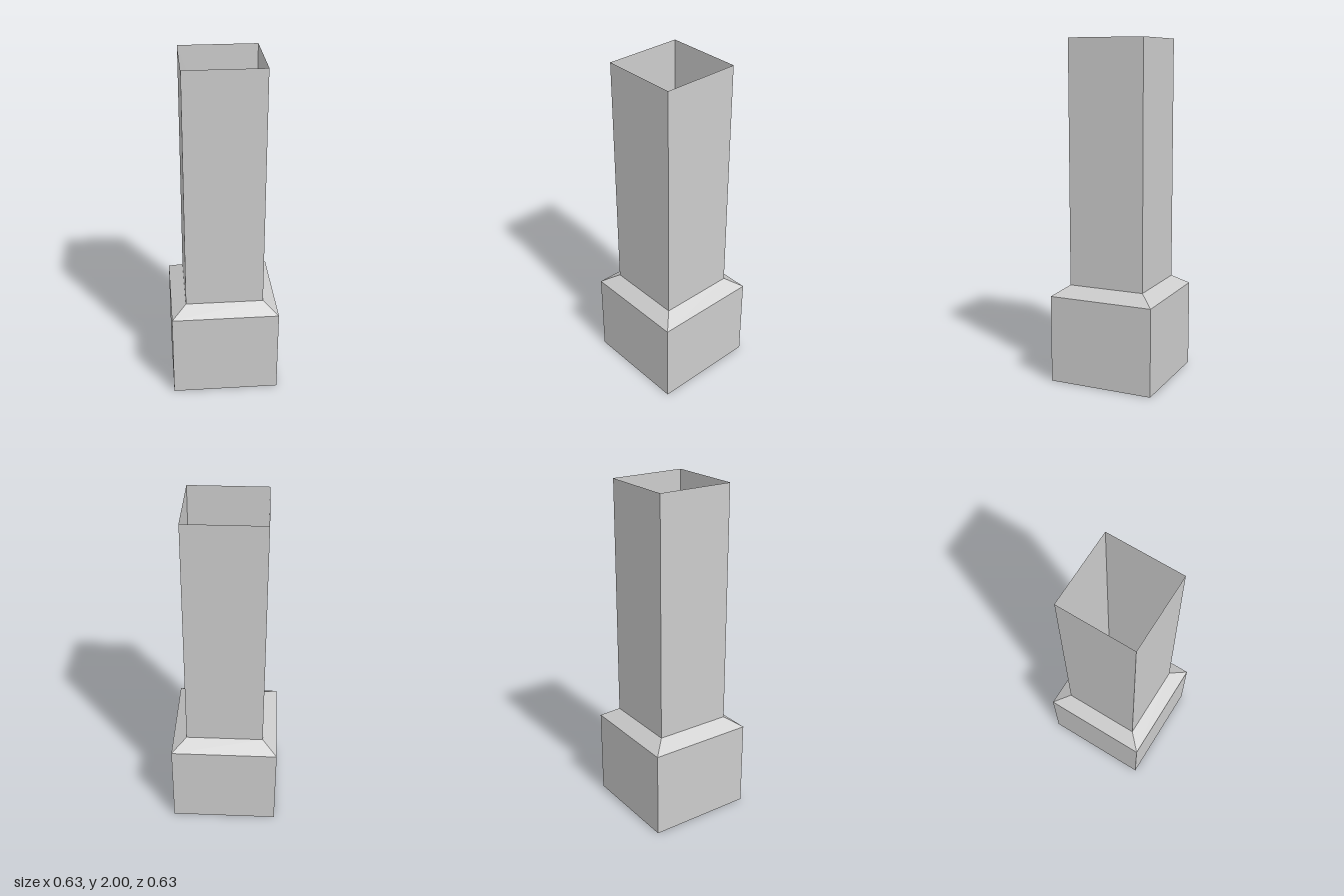
import * as THREE from 'three';

export function createModel() {
  const group = new THREE.Group();
  const material = new THREE.MeshStandardMaterial({
    color: 0xcccccc, flatShading: true, side: THREE.DoubleSide,
  });

  // Open square tube section between two heights, given half-widths at each end
  function addSection(name, halfBottom, halfTop, y0, y1) {
    const geometry = new THREE.CylinderGeometry(
      halfTop * Math.SQRT2, halfBottom * Math.SQRT2, y1 - y0, 4, 1, true, Math.PI / 4);
    const mesh = new THREE.Mesh(geometry, material);
    mesh.name = name;
    mesh.position.y = (y0 + y1) / 2;
    group.add(mesh);
  }

  const base = 0.315, shaft = 0.229;
  const baseTop = 0.517, shaftBottom = 0.575;
  addSection('base', base, base, 0, baseTop);
  addSection('slopedShoulder', base, shaft, baseTop, shaftBottom);
  addSection('shaft', shaft, shaft, shaftBottom, 2);

  return group;
}
